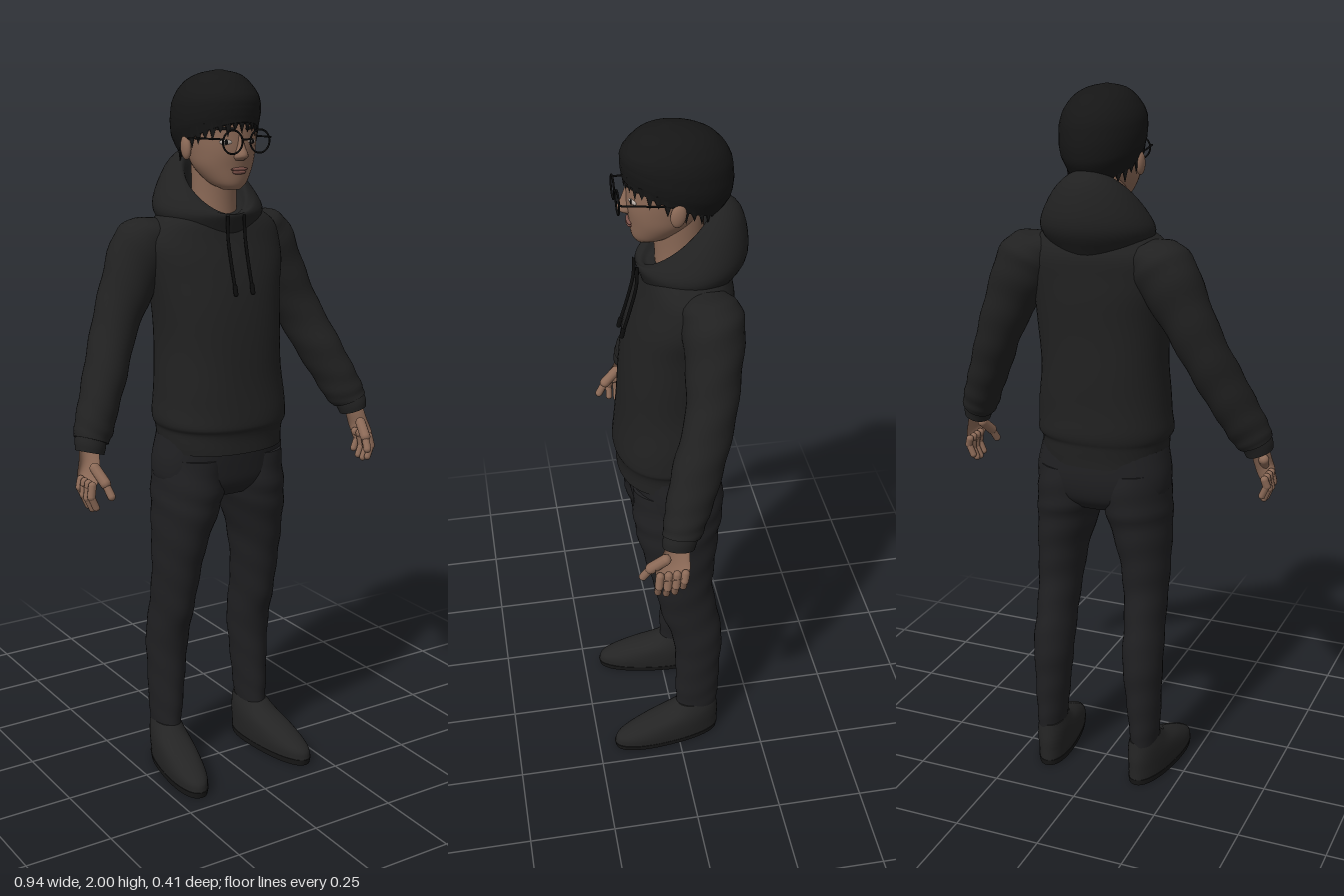
import * as THREE from 'three';

const mat = (name, color) => Object.assign(new THREE.MeshStandardMaterial({ color }), { name });

// Smooth skin over rings listed bottom to top: [x, y, z, radiusX, radiusZ, slopeX, slopeZ]
function loft(rings, { e = 2, steps = 5, seg = 36, fold = 0, waves = 9 } = {}) {
  const rows = rings.map(r => [...r, 0, 0].slice(0, 7));
  const spline = new THREE.CubicInterpolant(rows.map((_, i) => i), rows.flat(), 7);
  const n = (rows.length - 1) * steps, pos = [], idx = [];
  const bend = v => Math.sign(v) * Math.abs(v) ** (2 / e);
  for (let i = 0; i <= n; i++) {
    const [x, y, z, rx, rz, sx, sz] = spline.evaluate(i / steps);
    for (let j = 0; j < seg; j++) {
      const a = j / seg * Math.PI * 2;
      const k = 1 + fold * Math.sin(i / n * waves * 6.28 + 2.5 * Math.sin(a + 0.6));
      const dx = bend(Math.cos(a)) * rx * k, dz = bend(Math.sin(a)) * rz * k;
      pos.push(x + dx, y + sx * dx + sz * dz, z + dz);
    }
  }
  for (let i = 0; i < n; i++) for (let j = 0; j < seg; j++) {
    const a = i * seg + j, b = i * seg + (j + 1) % seg;
    idx.push(a, a + seg, b, b, a + seg, b + seg);
  }
  // flat end caps with their own vertices
  for (const [row, r, top] of [[0, rows[0], false], [n, rows[rows.length - 1], true]]) {
    const c = pos.length / 3;
    pos.push(r[0], r[1], r[2]);
    for (let j = 0; j < seg; j++) pos.push(...pos.slice((row * seg + j) * 3, (row * seg + j) * 3 + 3));
    for (let j = 0; j < seg; j++) {
      const a = c + 1 + j, b = c + 1 + (j + 1) % seg;
      top ? idx.push(c, b, a) : idx.push(c, a, b);
    }
  }
  const g = new THREE.BufferGeometry();
  g.setAttribute('position', new THREE.Float32BufferAttribute(pos, 3));
  g.setIndex(idx);
  g.computeVertexNormals();
  return g;
}

export function createModel() {
  const model = new THREE.Group();
  const skin = mat('skin', 0x8c6a57), hair = mat('hair', 0x161616), cloth = mat('hoodie cloth', 0x212121);
  const trouser = mat('trouser cloth', 0x202022), shoe = mat('shoe', 0x242424), sole = mat('sole', 0x181818);
  const black = mat('black frame', 0x0c0c0c), white = mat('eye white', 0xb5aaa2), lip = mat('lips', 0x7a5048);

  const add = (name, geo, material, parent = model) => {
    const m = new THREE.Mesh(geo, material);
    m.name = name;
    parent.add(m);
    return m;
  };
  const ball = (name, p, size, material) => {
    const m = add(name, new THREE.SphereGeometry(1, 20, 14), material);
    m.position.set(...p);
    m.scale.set(...size);
    return m;
  };
  const rod = (name, a, b, r, material) => {
    const A = new THREE.Vector3(...a), B = new THREE.Vector3(...b), d = B.clone().sub(A);
    const m = add(name, new THREE.CapsuleGeometry(r, d.length(), 5, 10), material);
    m.position.copy(A).lerp(B, 0.5);
    m.quaternion.setFromUnitVectors(new THREE.Vector3(0, 1, 0), d.normalize());
    return m;
  };
  const flip = (s, rings) => rings.map(([x, y, z, rx, rz, sx = 0, sz = 0]) => [s * x, y, z, rx, rz, s * sx, sz]);

  // Head, neck and nose
  add('head', loft([
    [0, 1.692, 0.06, 0.025, 0.025], [0, 1.71, 0.04, 0.052, 0.055], [0, 1.75, 0.017, 0.079, 0.084],
    [0, 1.79, 0.008, 0.089, 0.1], [0, 1.83, 0.004, 0.094, 0.104], [0, 1.87, 0, 0.096, 0.105],
    [0, 1.92, -0.01, 0.088, 0.1], [0, 1.96, -0.01, 0.05, 0.06]]), skin);
  add('neck', loft([[0, 1.56, -0.035, 0.07, 0.07], [0, 1.66, -0.028, 0.061, 0.064], [0, 1.77, -0.02, 0.063, 0.07]]), skin);
  add('nose', loft([
    [0, 1.77, 0.098, 0.014, 0.014], [0, 1.782, 0.106, 0.019, 0.025],
    [0, 1.81, 0.1, 0.011, 0.02], [0, 1.845, 0.096, 0.008, 0.011]], { seg: 18 }), skin);
  ball('upperLip', [0, 1.747, 0.101, ], [0.026, 0.005, 0.007], lip);
  ball('lowerLip', [0, 1.739, 0.1], [0.021, 0.006, 0.008], lip);

  // Hair cap with a jagged edge
  add('hair', loft([
    [0, 1.815, -0.005, 0.099, 0.122, 0, 0.44], [0, 1.86, -0.02, 0.112, 0.141, 0, 0.3],
    [0, 1.92, -0.02, 0.109, 0.138, 0, 0.1], [0, 1.963, -0.012, 0.085, 0.108],
    [0, 1.988, -0.003, 0.052, 0.066], [0, 1.999, 0, 0.008, 0.01]], { fold: 0.004 }), hair);
  for (let i = 0; i < 32; i++) {
    const a = i / 32 * Math.PI * 2, c = Math.cos(a), s = Math.sin(a);
    const t = add('hairTuft', new THREE.ConeGeometry(0.017, 0.05 + 0.016 * Math.sin(i * 2.7), 8), hair);
    t.position.set(0.097 * c, 1.815 + 0.052 * s, -0.005 + 0.117 * s);
    t.scale.z = 0.45;
    t.rotation.set(Math.PI, Math.PI / 2 + a, 0);
  }

  // Glasses bridge
  rod('glassesBridge', [-0.012, 1.826, 0.134], [0.012, 1.826, 0.134], 0.0025, black);

  // Hoodie body with ribbed hem
  add('hoodieBody', loft([
    [0, 0.98, 0, 0.177, 0.146], [0, 1.035, 0, 0.181, 0.149], [0, 1.062, 0, 0.191, 0.157],
    [0, 1.13, -0.005, 0.187, 0.153], [0, 1.25, -0.01, 0.178, 0.149], [0, 1.4, -0.02, 0.187, 0.142],
    [0, 1.5, -0.035, 0.204, 0.13], [0, 1.57, -0.045, 0.2, 0.117], [0, 1.615, -0.045, 0.16, 0.1],
    [0, 1.645, -0.04, 0.09, 0.085, 0, -0.3]], { e: 2.25, seg: 56, fold: 0.006, waves: 6 }), cloth);

  // Hood lying on the back, turned in at the rim
  add('hood', loft([
    [0, 1.575, -0.045, 0.13, 0.115], [0, 1.635, -0.06, 0.158, 0.145, 0, -0.13],
    [0, 1.695, -0.05, 0.126, 0.135, 0, -0.5], [0, 1.708, -0.025, 0.088, 0.097, 0, -0.85],
    [0, 1.67, -0.025, 0.072, 0.078, 0, -0.65], [0, 1.62, -0.025, 0.05, 0.05]],
  { e: 1.88, seg: 48 }), cloth);

  // Hips
  add('trouserHips', loft([
    [0, 0.845, -0.012, 0.1, 0.09], [0, 0.88, -0.012, 0.182, 0.12], [0, 0.94, -0.012, 0.195, 0.132],
    [0, 1.02, -0.005, 0.18, 0.135]], { e: 2.3 }), trouser);

  for (const s of [-1, 1]) {
    const side = s > 0 ? 'left' : 'right';

    // Face details and glasses
    ball(side + 'Ear', [s * 0.099, 1.8, -0.008], [0.012, 0.032, 0.02], skin).rotation.x = -0.15;
    ball(side + 'Eye', [s * 0.04, 1.818, 0.0965], [0.017, 0.007, 0.005], white).rotation.y = s * 0.4;
    ball(side + 'Iris', [s * 0.04, 1.818, 0.1], [0.006, 0.0065, 0.003], black);
    rod(side + 'Eyebrow', [s * 0.02, 1.851, 0.104], [s * 0.06, 1.854, 0.085], 0.0045, hair);
    add(side + 'GlassesRim', new THREE.TorusGeometry(0.03, 0.0026, 8, 32), black).position.set(s * 0.042, 1.82, 0.134);
    rod(side + 'GlassesHinge', [s * 0.071, 1.828, 0.134], [s * 0.08, 1.829, 0.128], 0.0025, black);
    rod(side + 'GlassesTemple', [s * 0.08, 1.829, 0.128], [s * 0.1, 1.825, -0.005], 0.0025, black);

    // Drawstring
    const cord = [[0.026, 1.625, 0.085], [0.027, 1.57, 0.088], [0.027, 1.5, 0.105], [0.027, 1.425, 0.128]];
    add(side + 'Drawstring', new THREE.TubeGeometry(new THREE.CatmullRomCurve3(
      cord.map(([x, y, z]) => new THREE.Vector3(s * x, y, z))), 20, 0.0045, 8), black);
    rod(side + 'DrawstringTip', [s * 0.027, 1.44, 0.124], [s * 0.027, 1.42, 0.129], 0.0062, black);

    // Sleeve and cuff
    add(side + 'Sleeve', loft(flip(s, [
      [0.425, 1.055, 0.04, 0.045, 0.05, 0.4, 0.2], [0.41, 1.085, 0.03, 0.05, 0.055, 0.45, 0.2],
      [0.385, 1.14, 0.01, 0.05, 0.062, 0.5, 0.2], [0.345, 1.225, -0.02, 0.054, 0.067, 0.5, 0.15],
      [0.3, 1.325, -0.055, 0.057, 0.066, 0.5, 0.1], [0.25, 1.43, -0.072, 0.066, 0.072, 0.5],
      [0.2, 1.525, -0.08, 0.076, 0.08, 0.55], [0.165, 1.575, -0.078, 0.06, 0.075, 0.6],
      [0.13, 1.595, -0.07, 0.03, 0.05, 0.6]]), { fold: 0.022, waves: 8 }), cloth);
    add(side + 'Cuff', loft(flip(s, [
      [0.434, 1.025, 0.05, 0.037, 0.042, 0.3, 0.15], [0.43, 1.045, 0.046, 0.04, 0.045, 0.35, 0.15],
      [0.422, 1.07, 0.036, 0.04, 0.046, 0.4, 0.2]])), cloth);

    // Hand with curled fingers and thumb
    add(side + 'Palm', loft(flip(s, [
      [0.434, 1.05, 0.046, 0.024, 0.03], [0.44, 1.005, 0.058, 0.025, 0.036],
      [0.45, 0.965, 0.068, 0.022, 0.046], [0.455, 0.942, 0.07, 0.013, 0.04]])), skin);
    for (let i = 0; i < 4; i++) {
      const z = 0.035 + i * 0.0225, drop = [0.018, 0.003, 0, 0.008][i];
      const knuckle = [s * 0.455, 0.95, z], mid = [s * 0.461, 0.913 + drop, z + 0.004], tip = [s * 0.448, 0.882 + drop, z + 0.005];
      rod(side + 'Finger', knuckle, mid, 0.0112, skin);
      rod(side + 'FingerTip', mid, tip, 0.0098, skin);
    }
    rod(side + 'ThumbBase', [s * 0.437, 0.99, 0.085], [s * 0.427, 0.957, 0.122], 0.015, skin);
    rod(side + 'Thumb', [s * 0.427, 0.957, 0.122], [s * 0.42, 0.925, 0.142], 0.011, skin);

    // Trouser leg
    add(side + 'TrouserLeg', loft(flip(s, [
      [0.149, 0.125, -0.062, 0.038, 0.063], [0.147, 0.2, -0.063, 0.045, 0.066], [0.143, 0.3, -0.065, 0.052, 0.068],
      [0.14, 0.4, -0.063, 0.058, 0.074], [0.137, 0.5, -0.04, 0.057, 0.083], [0.133, 0.6, -0.022, 0.063, 0.085],
      [0.126, 0.7, -0.014, 0.072, 0.1], [0.11, 0.8, -0.008, 0.088, 0.118], [0.099, 0.87, -0.01, 0.096, 0.128],
      [0.095, 0.96, -0.01, 0.088, 0.125]]), { fold: 0.018, waves: 9 }), trouser);

    // Shoe turned slightly outward
    const foot = new THREE.Group();
    foot.name = side + 'Shoe';
    foot.position.set(s * 0.149, 0, -0.06);
    foot.rotation.y = s * 0.13;
    model.add(foot);
    add('shoeSole', loft([[0, 0, 0.097, 0.05, 0.163], [0, 0.018, 0.097, 0.053, 0.167]], { e: 2.3 }), sole, foot);
    add('shoeUpper', loft([
      [0, 0.016, 0.097, 0.052, 0.166], [0, 0.045, 0.091, 0.054, 0.16], [0, 0.078, 0.058, 0.052, 0.128],
      [0, 0.108, 0.018, 0.046, 0.085], [0, 0.135, -0.002, 0.038, 0.062]], { e: 2.2 }), shoe, foot);
  }
  return model;
}
